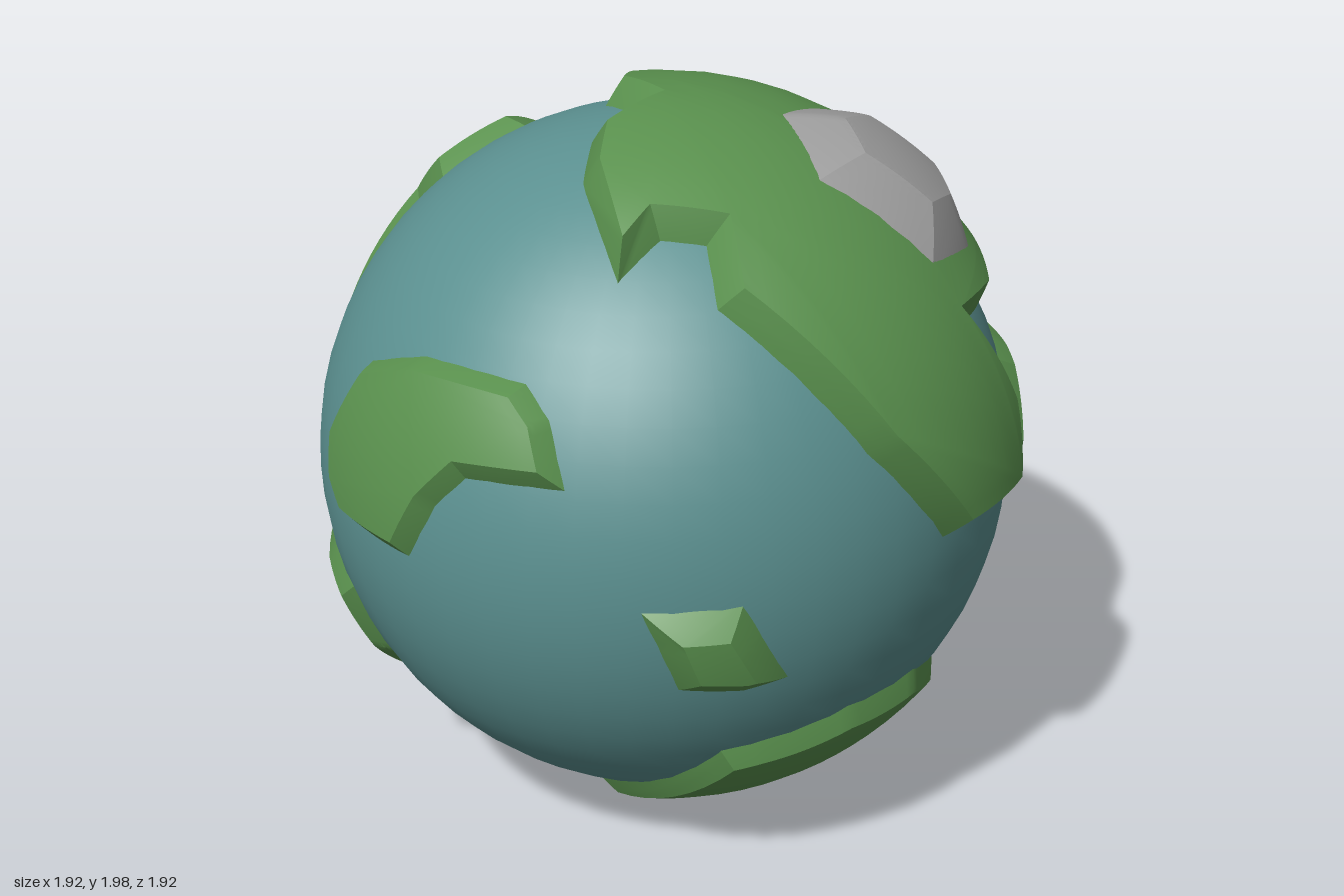
import * as THREE from 'three';
import { toCreasedNormals } from 'three/addons/utils/BufferGeometryUtils.js';

const R = 0.94;                                   // ocean radius
const C = new THREE.Vector3(-0.02, 0.98, -0.02);  // planet centre

const mat = (name, color) => {
  const m = new THREE.MeshStandardMaterial({ color });
  m.name = name;
  return m;
};

// Unit direction of a point placed at (u, v) on the disc of a globe turned by azimuth and elevation
const globe = (azimuth, elevation) => {
  const a = THREE.MathUtils.degToRad(azimuth), e = THREE.MathUtils.degToRad(elevation);
  const f = new THREE.Vector3(Math.sin(a) * Math.cos(e), Math.sin(e), Math.cos(a) * Math.cos(e));
  const r = new THREE.Vector3(Math.cos(a), 0, -Math.sin(a));
  const up = f.clone().cross(r);
  return ([u, v]) => new THREE.Vector3()
    .addScaledVector(r, u).addScaledVector(up, v)
    .addScaledVector(f, Math.sqrt(Math.max(0, 1 - u * u - v * v))).normalize();
};
const front = globe(0, 0), side = globe(90, 0), top = globe(0, 90);
const F = (...pts) => pts.map(([x, y]) => front([(x - C.x) / R, (y - C.y) / R]));
const S = (...pts) => pts.map(([z, y]) => side([(C.z - z) / R, (y - C.y) / R]));
const T = (...pts) => pts.map(([x, z]) => top([(x - C.x) / R, (C.z - z) / R]));
const BL = (...pts) => pts.map(globe(215, 25));
const BR = (...pts) => pts.map(globe(130, -25));

// Raised plateau on the globe: bevelled rim from low to high radius, curved top
function plateau(outline, low, high, inset, levels = 3) {
  const n = outline.length;
  const centre = outline.reduce((s, p) => s.add(p), new THREE.Vector3()).normalize();
  const bx = new THREE.Vector3(0.31, 0.2, 0.93).cross(centre).normalize();
  const by = centre.clone().cross(bx);
  const flat = (p) => new THREE.Vector2(p.dot(bx), p.dot(by)).divideScalar(Math.max(0.12, p.dot(centre)));
  if (THREE.ShapeUtils.isClockWise(outline.map(flat))) outline = outline.slice().reverse();

  // move every corner inward along the mean of its edge normals
  const inward = outline.map((p, i) => p.clone().cross(outline[(i + 1) % n]).normalize());
  const inner = outline.map((p, i) => {
    const a = inward[(i + n - 1) % n], b = inward[i];
    const k = inset / Math.max(0.6, 1 + a.dot(b));
    return p.clone().addScaledVector(a, k).addScaledVector(b, k).normalize();
  });

  const lowV = outline.map((d) => ({ d, r: low })), highV = inner.map((d) => ({ d, r: high }));
  const out = [];
  const mid = (a, b) => ({ d: a.d.clone().add(b.d).normalize(), r: (a.r + b.r) / 2 });
  const split = (a, b, c, level) => {
    if (level === 0) {
      for (const v of [a, b, c]) out.push(v.d.x * v.r, v.d.y * v.r, v.d.z * v.r);
      return;
    }
    const ab = mid(a, b), bc = mid(b, c), ca = mid(c, a);
    split(a, ab, ca, level - 1);
    split(ab, b, bc, level - 1);
    split(ca, bc, c, level - 1);
    split(ab, bc, ca, level - 1);
  };
  const face = (a, b, c) => {
    const outside = b.d.clone().cross(c.d).dot(a.d) > 0;
    if (outside) split(a, b, c, levels); else split(a, c, b, levels);
  };
  for (let i = 0; i < n; i++) {
    const j = (i + 1) % n;
    face(lowV[i], lowV[j], highV[j]);
    face(lowV[i], highV[j], highV[i]);
  }
  for (const [a, b, c] of THREE.ShapeUtils.triangulateShape(inner.map(flat), [])) face(highV[a], highV[b], highV[c]);

  const g = new THREE.BufferGeometry();
  g.setAttribute('position', new THREE.Float32BufferAttribute(out, 3));
  return toCreasedNormals(g, 0.4);
}

export function createModel() {
  const ocean = mat('ocean teal', 0x5b9090);
  const land = mat('land green', 0x5a914e);
  const rock = mat('mountain grey', 0x9c9c9c);
  const planet = new THREE.Group();
  planet.name = 'planet';
  planet.position.copy(C);
  const add = (name, geometry, material) => {
    const m = new THREE.Mesh(geometry, material);
    m.name = name;
    planet.add(m);
  };

  add('ocean', new THREE.SphereGeometry(R, 48, 32), ocean);

  // Continents: outline, top radius, rim width
  const continents = {
    northContinent: [[
      ...T([-0.2, -0.15], [-0.1, -0.02], [-0.2, 0.12], [-0.2, 0.3]),
      ...F([-0.07, 1.69], [0.03, 1.77], [0.13, 1.76], [0.17, 1.65], [0.55, 1.3], [0.75, 1.0], [0.9, 0.98]),
      ...S([0.11, 1.24], [0.18, 1.45], [0.1, 1.43], [0, 1.41], [-0.3, 1.45], [-0.72, 1.47]),
      ...T([0.1, -0.71], [-0.08, -0.67], [-0.19, -0.4]),
    ], 1.01, 0.07],
    backLeftContinent: [BL([0.18, 0.57], [0.45, 0.44], [0.47, 0.26], [0.67, -0.05], [0.64, -0.18], [0.53, -0.35],
      [0.08, -0.43], [-0.29, -0.4], [-0.43, -0.11], [-0.3, 0.1], [-0.04, 0.39]), 0.99, 0.07],
    frontContinent: [F([-0.83, 1.2], [-0.72, 1.41], [-0.55, 1.49], [-0.27, 1.5], [-0.2, 1.43], [-0.15, 1.26],
      [-0.42, 1.24], [-0.5, 1.15], [-0.58, 0.98], [-0.78, 0.98], [-0.83, 1.06]), 0.98, 0.06],
    rightContinent: [S([-0.01, 1.0], [-0.14, 1.22], [-0.25, 1.25], [-0.43, 1.25], [-0.55, 1.13], [-0.78, 1.0],
      [-0.82, 0.78], [-0.75, 0.62], [-0.65, 0.53], [-0.3, 0.51], [-0.15, 0.7]), 0.985, 0.07],
    lowerFrontContinent: [F([-0.17, 0.16], [0.2, 0.48], [0.3, 0.5], [0.53, 0.56], [0.7, 0.57], [0.75, 0.5],
      [0.72, 0.42], [0.61, 0.3], [0.3, 0.14], [0, 0.07], [-0.12, 0.09]), 0.98, 0.07],
    southContinent: [[
      ...BR([-0.32, -0.67], [-0.23, -0.53], [0, -0.35], [0.44, 0.15], [0.71, 0.12]),
      ...BL([-0.48, -0.54], [-0.27, -0.72], [0.08, -0.79], [0.31, -0.72], [0.54, -0.51], [0.91, -0.36]),
      ...F([-0.82, 0.7], [-0.72, 0.48], [-0.64, 0.3], [-0.3, 0.1]),
      ...BR([0.06, -0.91]),
    ], 0.98, 0.07],
    smallIsland: [F([0, 0.99], [0.28, 1.0], [0.33, 0.9], [0.4, 0.73], [0.27, 0.7], [0.1, 0.72], [0.05, 0.87]), 0.99, 0.09],
  };
  for (const [name, [outline, radius, rim]] of Object.entries(continents)) {
    add(name, plateau(outline, R - 0.015, radius, rim), land);
  }

  // Mountain caps
  add('northMountain', plateau(
    T([0.25, -0.01], [0.36, -0.27], [0.65, -0.27], [0.74, -0.02], [0.65, 0.24], [0.36, 0.24]), 1.0, 1.065, 0.15), rock);
  add('southMountain', plateau(
    BR([0.18, -0.58], [0.43, -0.37], [0.68, -0.39], [0.69, -0.56], [0.44, -0.8], [0.22, -0.78]), 0.97, 1.04, 0.11), rock);

  const model = new THREE.Group();
  model.name = 'model';
  model.add(planet);
  return model;
}
